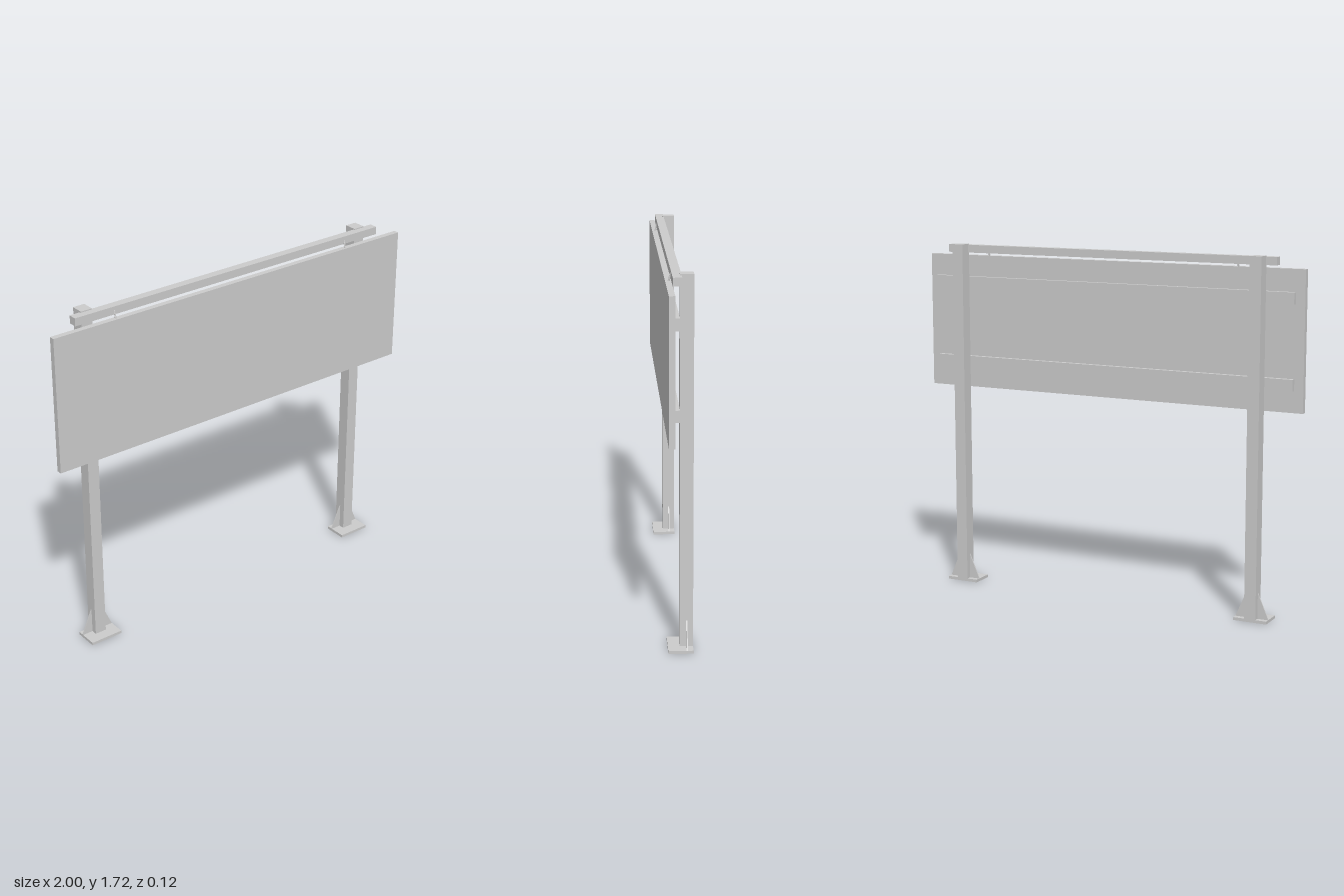
import * as THREE from 'three';

const material = new THREE.MeshStandardMaterial({ color: 0xcccccc, flatShading: true });

// Box given by its extents along each axis
function box(name, [x0, x1], [y0, y1], [z0, z1]) {
  const mesh = new THREE.Mesh(new THREE.BoxGeometry(x1 - x0, y1 - y0, z1 - z0), material);
  mesh.position.set((x0 + x1) / 2, (y0 + y1) / 2, (z0 + z1) / 2);
  mesh.name = name;
  return mesh;
}

// Thin triangular plate bracing a post on one side
function gusset(side) {
  const foot = side * 0.083, face = side * 0.029;
  const shape = new THREE.Shape([
    new THREE.Vector2(face, 0.014),
    new THREE.Vector2(foot, 0.014),
    new THREE.Vector2(face, 0.138),
  ]);
  const geometry = new THREE.ExtrudeGeometry(shape, { depth: 0.006, bevelEnabled: false });
  const mesh = new THREE.Mesh(geometry, material);
  mesh.position.z = -0.033;
  mesh.name = 'gusset';
  return mesh;
}

// Thin rod between two points
function rod(name, a, b, radius) {
  const mesh = new THREE.Mesh(new THREE.CylinderGeometry(radius, radius, a.distanceTo(b), 8), material);
  mesh.position.lerpVectors(a, b, 0.5);
  mesh.quaternion.setFromUnitVectors(new THREE.Vector3(0, 1, 0), b.clone().sub(a).normalize());
  mesh.name = name;
  return mesh;
}

export function createModel() {
  const model = new THREE.Group();
  model.name = 'signboard';

  // Board, the two battens behind it and the rail above
  model.add(box('panel', [-1, 1], [0.997, 1.66], [0.032, 0.059]));
  for (const y of [1.1, 1.5]) {
    model.add(box('batten', [-0.955, 0.955], [y, y + 0.055], [0.009, 0.032]));
  }
  model.add(box('topRail', [-0.873, 0.873], [1.675, 1.713], [-0.005, 0.036]));

  for (const side of [-1, 1]) {
    // Post on its foot plate with a gusset at either side
    const support = new THREE.Group();
    support.name = side > 0 ? 'leftSupport' : 'rightSupport';
    support.position.x = side * 0.791;
    support.add(
      box('post', [-0.029, 0.029], [0.014, 1.718], [-0.059, 0.002]),
      box('footPlate', [-0.083, 0.083], [0, 0.014], [-0.059, 0.055]),
      gusset(-1),
      gusset(1),
    );
    model.add(support);

    // Stay linking the rail to the board
    const x = side * 0.667;
    model.add(rod('stay', new THREE.Vector3(x, 1.695, 0.034), new THREE.Vector3(x, 1.655, 0.044), 0.004));
  }
  return model;
}
